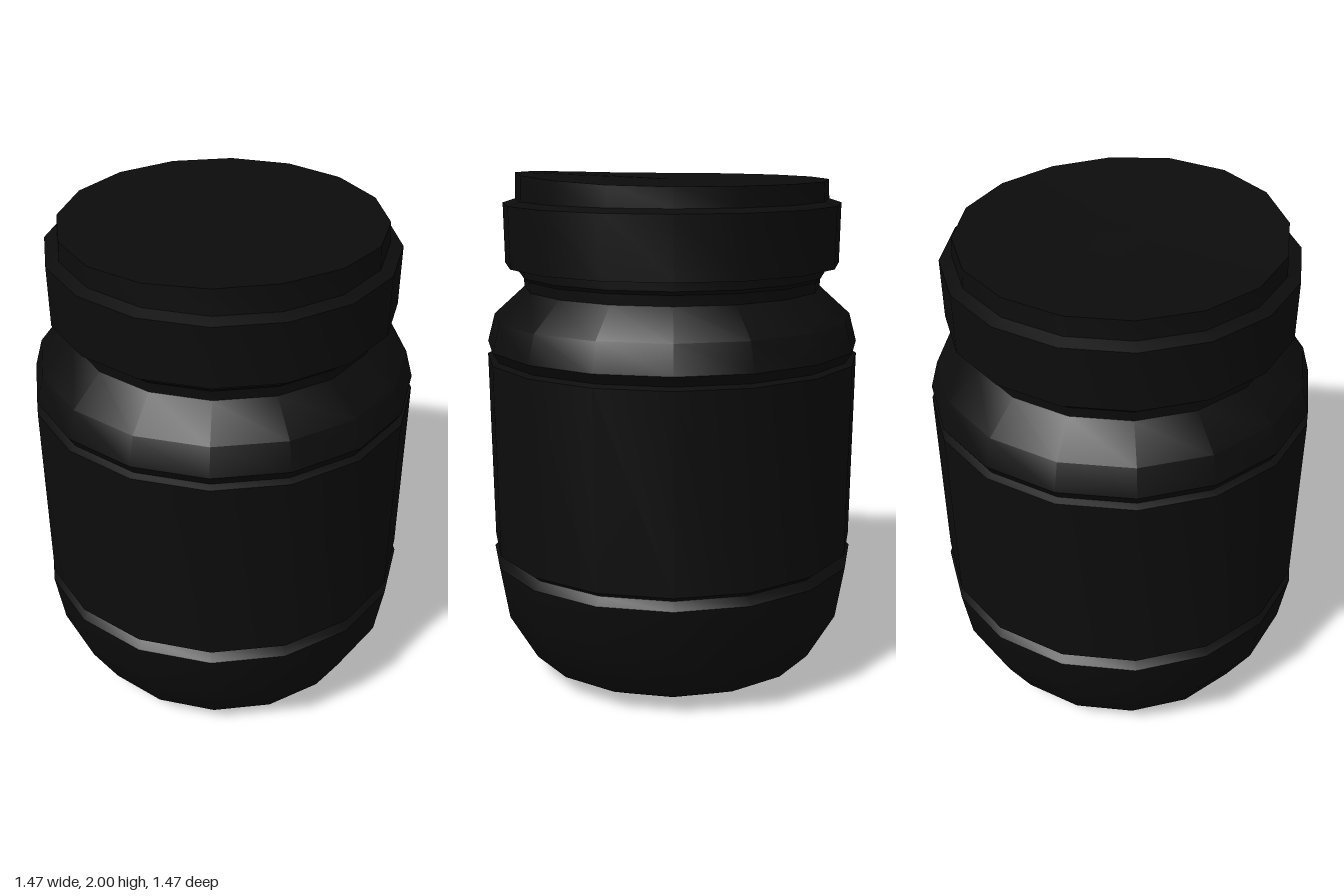
import * as THREE from 'three';
import { toCreasedNormals } from 'three/addons/utils/BufferGeometryUtils.js';

const SIDES = 16;
const material = new THREE.MeshStandardMaterial({ color: 0x0c0c0c });

// Revolve a [radius, height] profile, optionally bending the vertices by a rule
function turned(name, profile, bend) {
  const geometry = new THREE.LatheGeometry(profile.map(([r, y]) => new THREE.Vector2(r, y)), SIDES);
  if (bend) {
    const p = geometry.attributes.position;
    for (let i = 0; i < p.count; i++) p.setY(i, bend(p.getX(i), p.getY(i), p.getZ(i)));
  }
  const mesh = new THREE.Mesh(toCreasedNormals(geometry, 0.6), material);
  mesh.name = name;
  return mesh;
}

export function createModel() {
  const model = new THREE.Group();
  model.name = 'jar';

  // Rounded base up to the lower groove
  model.add(turned('base', [
    [0, 0], [0.45, 0.01], [0.59, 0.08], [0.70, 0.27], [0.735, 0.48], [0.705, 0.51],
  ]));

  // Straight wall between the two grooves
  model.add(turned('wall', [[0.705, 0.51], [0.73, 0.53], [0.737, 1.29], [0.71, 1.30]]));

  // Shoulder and neck
  model.add(turned('shoulder', [
    [0.71, 1.30], [0.735, 1.34], [0.705, 1.45], [0.583, 1.56],
    [0.587, 1.60], [0.603, 1.615], [0.605, 1.66],
  ]));

  // Stepped lid, its top edge lifted slightly at the front
  model.add(turned('lid', [
    [0.59, 1.652], [0.657, 1.652], [0.66, 1.885], [0.612, 1.90], [0.608, 1.974], [0, 1.974],
  ], (x, y, z) => (y > 1.95 ? y + 0.026 * Math.max(0, z / 0.608) ** 2 : y)));

  return model;
}
